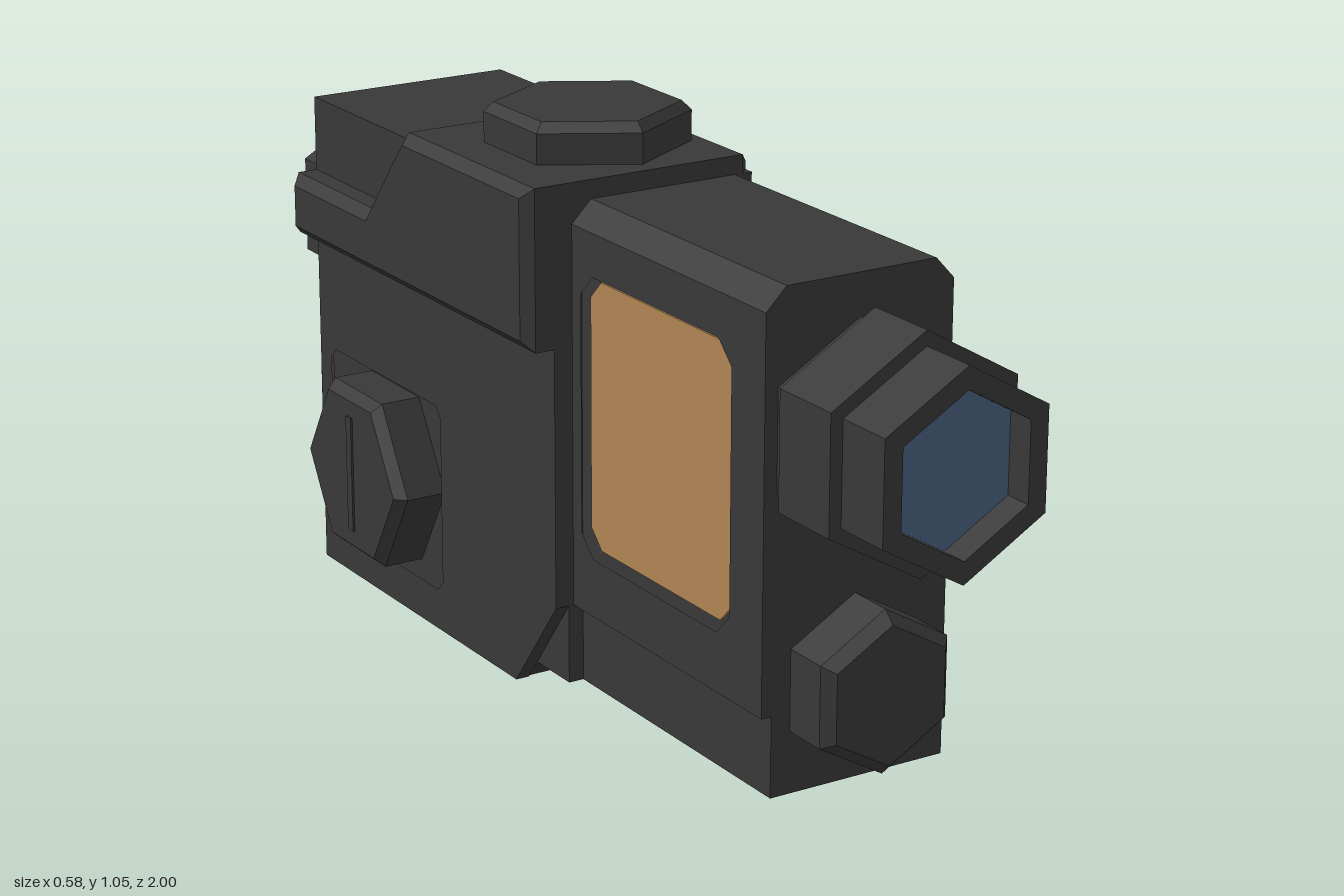
import * as THREE from 'three';

const shell = new THREE.MeshStandardMaterial({ color: 0x383838 });
shell.name = 'dark grey shell';
const glass = new THREE.MeshStandardMaterial({ color: 0x48617f });
glass.name = 'blue glass';
const amber = new THREE.MeshStandardMaterial({ color: 0xb08555 });
amber.name = 'amber window';

export function createModel() {
  const model = new THREE.Group();

  const add = (name, geometry, material = shell) => {
    const flat = geometry.index ? geometry.toNonIndexed() : geometry;
    flat.computeVertexNormals();
    const mesh = new THREE.Mesh(flat, material);
    mesh.name = name;
    model.add(mesh);
    return mesh;
  };

  // Box given by its lower and upper corners
  const box = (name, [x0, y0, z0], [x1, y1, z1], material) =>
    add(name, new THREE.BoxGeometry(x1 - x0, y1 - y0, z1 - z0)
      .translate((x0 + x1) / 2, (y0 + y1) / 2, (z0 + z1) / 2), material);

  // Side profile of [z, y] points, extruded from x0 to x1 with an optional chamfer
  const side = (name, points, x0, x1, { bevel = 0, hole, material } = {}) => {
    const toV = ([z, y]) => new THREE.Vector2(-z, y);
    const shape = new THREE.Shape(points.map(toV));
    if (hole) shape.holes.push(new THREE.Path(hole.map(toV)));
    const geometry = new THREE.ExtrudeGeometry(shape, {
      depth: x1 - x0 - 2 * bevel, bevelEnabled: bevel > 0, bevelSegments: 1,
      bevelSize: bevel, bevelThickness: bevel, bevelOffset: -bevel,
    });
    return add(name, geometry.rotateY(Math.PI / 2).translate(x0 + bevel, 0, 0), material);
  };

  // Six-sided turned part: [radius, height] profile from base to tip
  const hex = (name, points, position, rx = 0, rz = 0, material) => {
    const profile = points.map(([r, h]) => new THREE.Vector2(r, h));
    const mesh = add(name, new THREE.LatheGeometry(profile, 6), material);
    mesh.position.set(...position);
    mesh.rotation.set(rx, 0, rz);
    return mesh;
  };

  // Rectangle in [z, y] with cut corners
  const cutRect = (z0, y0, z1, y1, c) => [
    [z0 + c, y0], [z1 - c, y0], [z1, y0 + c], [z1, y1 - c],
    [z1 - c, y1], [z0 + c, y1], [z0, y1 - c], [z0, y0 + c]];

  // Front housing with chamfered top edges
  const front = new THREE.Shape([
    [-0.16, 0.04], [0.197, 0.04], [0.197, 0.905], [0.16, 0.945],
    [-0.14, 0.945], [-0.18, 0.905], [-0.18, 0.86], [-0.16, 0.86],
  ].map(p => new THREE.Vector2(...p)));
  add('frontHousing', new THREE.ExtrudeGeometry(front, { depth: 0.65, bevelEnabled: false })
    .translate(0, 0, 0.05));

  // Side skin framing the amber window
  const windowOutline = cutRect(0.12, 0.3, 0.6, 0.825, 0.04);
  side('windowFrame', [[0.05, 0.19], [0.7, 0.19], [0.7, 0.86], [0.05, 0.86]], -0.18, -0.16,
    { hole: windowOutline });
  side('sideWindow', cutRect(0.13, 0.315, 0.585, 0.815, 0.035), -0.166, -0.158, { material: amber });

  // Rear housing and its side panel with a pocket for the dial
  side('rearHousing', [[-0.81, 0], [-0.06, 0], [-0.02, 0.04], [0.09, 0.04], [0.09, 0.945], [-0.81, 0.945]],
    -0.19, 0.197);
  side('sidePanel', [[-0.81, 0], [-0.055, 0], [0.09, 0.19], [0.09, 0.945], [-0.81, 0.945]],
    -0.217, -0.19, { hole: cutRect(-0.765, 0.08, -0.33, 0.45, 0.02) });

  // Raised hood that wraps over the top and down the right flank
  side('upperHood', [[-0.81, 0.68], [0.09, 0.68], [0.09, 0.98], [-0.36, 0.98],
    [-0.4, 0.935], [-0.51, 0.8], [-0.81, 0.8]], -0.275, 0.197, { bevel: 0.02 });

  // Hexagonal dials
  const dial = (r, h, c) => [[r, 0], [r, h - c], [r - c, h], [0, h]];
  hex('topDial', dial(0.188, 0.075, 0.018), [-0.01, 0.98, -0.135]);
  hex('frontDial', dial(0.15, 0.11, 0.022), [0.008, 0.23, 0.7], Math.PI / 2);
  hex('sideDial', dial(0.19, 0.1, 0.02), [-0.19, 0.265, -0.555], 0, Math.PI / 2);
  box('sideDialGrip', [-0.294, 0.15, -0.565], [-0.288, 0.38, -0.545]);

  // Front lens barrel with a wider focus ring
  const axis = [0.008, 0.68];
  hex('lensBarrel', [[0.1875, 0], [0.1875, 0.04], [0.215, 0.04], [0.215, 0.185], [0.1875, 0.185],
    [0.1875, 0.3], [0.146, 0.3], [0.146, 0.24], [0, 0.24]], [...axis, 0.7], Math.PI / 2);
  hex('frontLens', [[0.146, 0], [0.146, 0.005], [0, 0.005]], [...axis, 0.941], Math.PI / 2, 0, glass);

  // Rear eyepiece
  hex('eyepiece', [[0.1875, 0], [0.1875, 0.17], [0.168, 0.19], [0.125, 0.19], [0.115, 0.14], [0, 0.14]],
    [...axis, -0.81], -Math.PI / 2);

  // Tapered battery cover at the back
  side('batteryCover', [[-0.8, 0], [-0.81, 0], [-0.96, 0.11], [-0.96, 0.38], [-0.81, 0.49], [-0.8, 0.49]],
    -0.155, 0.17, { bevel: 0.028 });

  // Mounting plate with two rails on the left side
  box('mountPlate', [0.19, 0.265, -0.62], [0.235, 0.755, 0.51]);
  for (const [name, y] of [['lowerRail', 0.265], ['upperRail', 0.7]]) {
    box(name, [0.235, y, -0.62], [0.29, y + 0.055, 0.51]);
  }
  return model;
}
